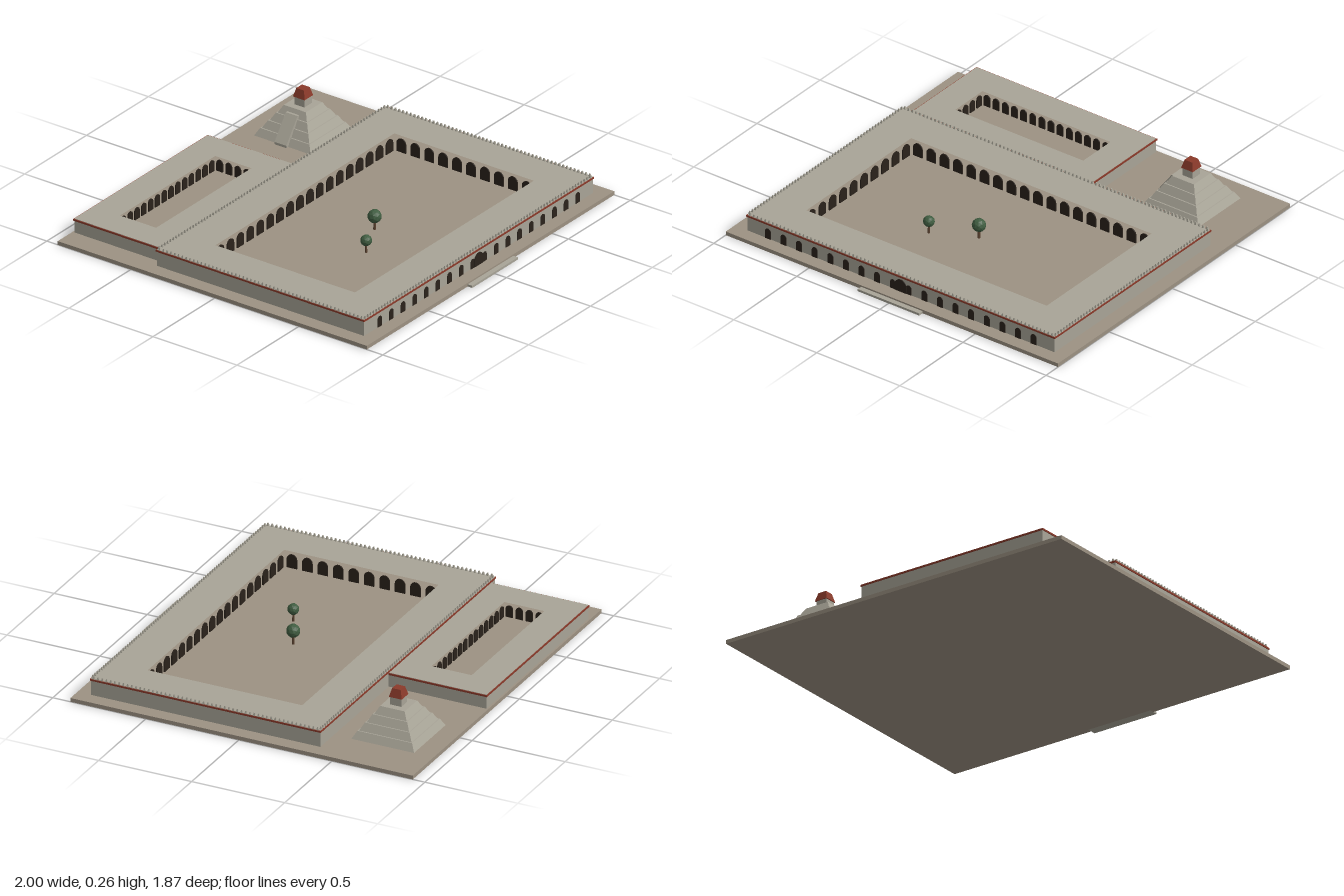
import * as THREE from 'three';
import { mergeGeometries } from 'three/addons/utils/BufferGeometryUtils.js';

const mat = (color) => new THREE.MeshStandardMaterial({ color, flatShading: true });
const GROUND = 0.02;

export function createModel() {
  const model = new THREE.Group();
  const paving = mat(0x9c9182), stone = mat(0xa8a497), red = mat(0x8a3a2a);
  const dark = mat(0x2a221b), leaf = mat(0x3f5c40), bark = mat(0x5a4230);
  dark.side = THREE.DoubleSide;

  const add = (parent, name, geometry, material, x = 0, y = 0, z = 0) => {
    const mesh = new THREE.Mesh(geometry, material);
    mesh.name = name;
    mesh.position.set(x, y, z);
    parent.add(mesh);
    return mesh;
  };
  const group = (name, x = 0, y = 0, z = 0) => {
    const g = new THREE.Group();
    g.name = name;
    g.position.set(x, y, z);
    model.add(g);
    return g;
  };

  // Rectangular ring: outer and inner are [x0, x1, z0, z1]
  const ring = (outer, inner, height) => {
    const corners = ([x0, x1, z0, z1]) =>
      [[x0, -z0], [x1, -z0], [x1, -z1], [x0, -z1]].map((p) => new THREE.Vector2(...p));
    const shape = new THREE.Shape(corners(outer));
    shape.holes.push(new THREE.Path(corners(inner)));
    return new THREE.ExtrudeGeometry(shape, { depth: height, bevelEnabled: false }).rotateX(-Math.PI / 2);
  };
  const grow = ([x0, x1, z0, z1], d) => [x0 - d, x1 + d, z0 - d, z1 + d];

  // Round-headed opening panel, facing +z
  const arch = (w, h, depth = 0.006) => {
    const s = new THREE.Shape();
    s.moveTo(-w / 2, 0);
    s.lineTo(w / 2, 0);
    s.lineTo(w / 2, h - w / 2);
    s.absarc(0, h - w / 2, w / 2, 0, Math.PI, false);
    s.lineTo(-w / 2, 0);
    return new THREE.ExtrudeGeometry(s, { depth, bevelEnabled: false, curveSegments: 6 }).translate(0, 0, -depth / 2);
  };

  // Copies of a geometry spread evenly along the four sides of a rectangle
  const around = (geometry, [x0, x1, z0, z1], nx, nz) => {
    const parts = [];
    for (let i = 0; i < nx; i++) {
      const x = x0 + ((i + 0.5) / nx) * (x1 - x0);
      for (const z of [z0, z1]) parts.push(geometry.clone().translate(x, 0, z));
    }
    const turned = geometry.clone().rotateY(Math.PI / 2);
    for (let i = 0; i < nz; i++) {
      const z = z0 + ((i + 0.5) / nz) * (z1 - z0);
      for (const x of [x0, x1]) parts.push(turned.clone().translate(x, 0, z));
    }
    return mergeGeometries(parts);
  };

  // Platform and entrance step
  add(model, 'platform', new THREE.BoxGeometry(2, GROUND, 1.84), paving, 0, GROUND / 2, -0.015);
  add(model, 'entranceStep', new THREE.BoxGeometry(0.37, 0.012, 0.05), stone, 0, 0.006, 0.907);

  // Courtyard blocks with a red cornice and an arcade on the inner walls
  const courtBlock = (name, outer, inner, height, nx, nz) => {
    const g = group(name, 0, GROUND, 0);
    add(g, 'walls', ring(outer, inner, height), stone);
    add(g, 'cornice', ring(grow(outer, 0.004), grow(outer, -0.003), 0.009), red, 0, height - 0.011, 0);
    const pitch = (inner[1] - inner[0]) / nx;
    add(g, 'arcade', around(arch(pitch * 0.68, height * 0.82), inner, nx, nz), dark);
    return g;
  };
  const mainOuter = [-0.925, 0.925, -0.4, 0.833];
  const main = courtBlock('mainBuilding', mainOuter, [-0.723, 0.723, -0.2, 0.63], 0.088, 18, 10);
  courtBlock('rearBuilding', [-0.88, 0.2, -0.925, -0.4], [-0.725, 0.045, -0.767, -0.552], 0.075, 14, 4);

  // Battlements along the main roof edge
  const merlon = new THREE.CylinderGeometry(0.004, 0.009, 0.015, 4).rotateY(Math.PI / 4);
  add(main, 'battlements', around(merlon, grow(mainOuter, -0.004), 80, 54), stone, 0, 0.094, 0);

  // Front windows and the triple gateway
  for (const side of [-1, 1]) {
    for (let i = 0; i < 8; i++) {
      add(main, 'frontWindow', arch(0.034, 0.056), dark, side * (0.142 + i * 0.094), 0, 0.833);
    }
    add(main, 'sideGate', arch(0.03, 0.05), dark, side * 0.048, 0, 0.833);
  }
  add(main, 'mainGate', arch(0.07, 0.066, 0.01), dark, 0, 0, 0.833);

  // Stepped pyramid with a shrine on top
  const pyramid = group('pyramid', 0.612, GROUND, -0.662);
  const frustum = (bottom, top, h) =>
    new THREE.CylinderGeometry(top * Math.SQRT2, bottom * Math.SQRT2, h, 4).rotateY(Math.PI / 4);
  const tierH = 0.0385;
  for (let i = 0; i < 4; i++) {
    const b = 0.168 - i * 0.027;
    add(pyramid, 'tier', frustum(b, b - 0.021, tierH), stone, 0, tierH * (i + 0.5), 0);
  }
  add(pyramid, 'shrine', new THREE.BoxGeometry(0.06, 0.045, 0.06), stone, 0, 0.175, 0);
  add(pyramid, 'shrineRoof', frustum(0.035, 0.023, 0.044), red, 0, 0.218, 0);

  // Stair ramp on the right flank
  const ramp = new THREE.Shape([[-0.183, 0], [-0.08, 0], [-0.08, 0.135], [-0.092, 0.135], [-0.183, 0.012]]
    .map((p) => new THREE.Vector2(...p)));
  add(pyramid, 'stairRamp', new THREE.ExtrudeGeometry(ramp, { depth: 0.07, bevelEnabled: false }), stone, 0, 0, -0.035);

  // Courtyard trees
  for (const [x, z, r] of [[0, 0.215, 0.035], [-0.218, 0.325, 0.029]]) {
    const tree = group('tree', x, GROUND, z);
    add(tree, 'trunk', new THREE.CylinderGeometry(r * 0.16, r * 0.22, 0.05, 6), bark, 0, 0.025, 0);
    add(tree, 'crown', new THREE.IcosahedronGeometry(r, 1), leaf, 0, 0.036 + r, 0);
  }
  return model;
}
